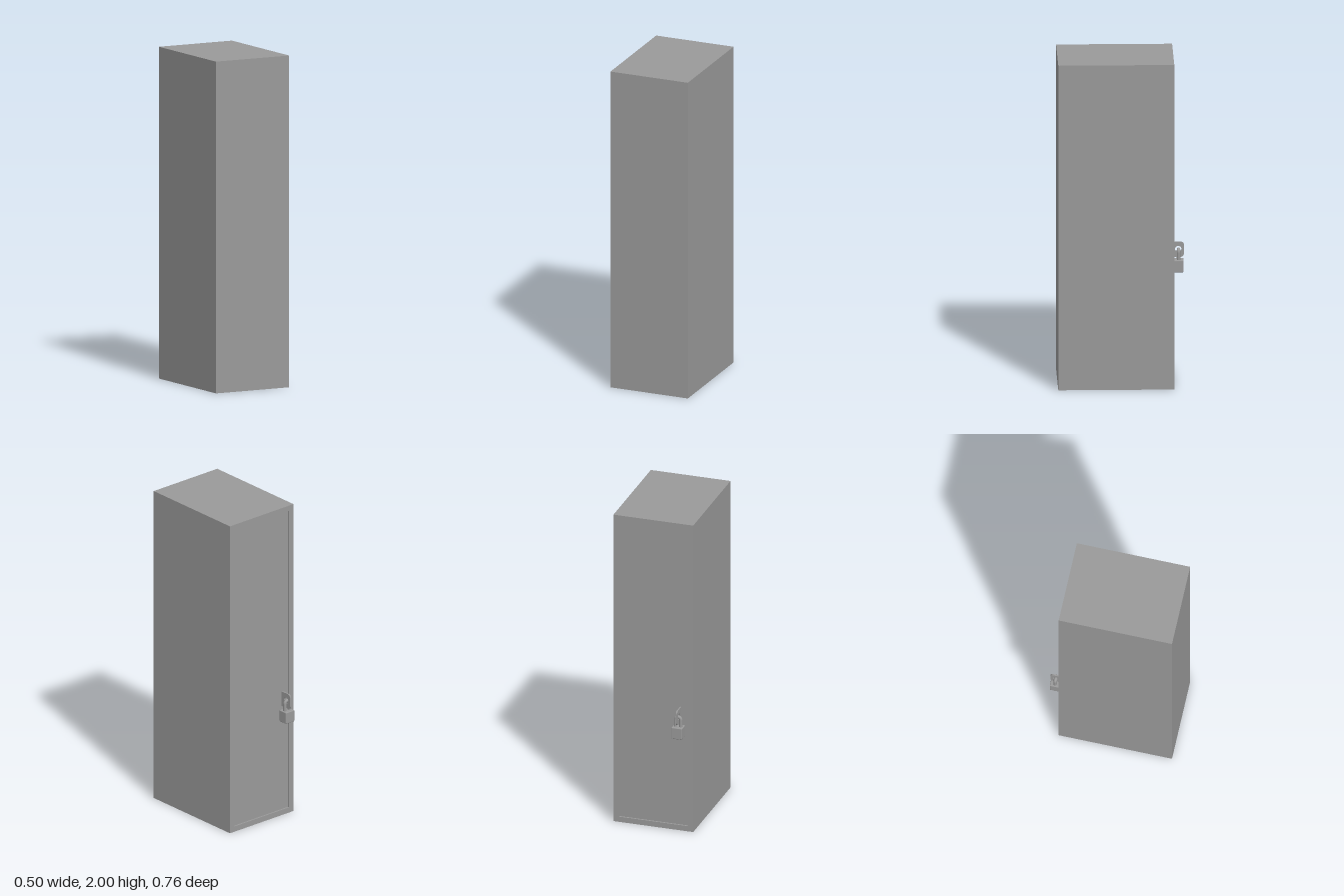
import * as THREE from 'three';
import { RoundedBoxGeometry } from 'three/addons/geometries/RoundedBoxGeometry.js';

const paint = new THREE.MeshStandardMaterial({ color: 0x9a9a9a });

function part(parent, name, geometry, x = 0, y = 0, z = 0) {
  const mesh = new THREE.Mesh(geometry, paint);
  mesh.name = name;
  mesh.position.set(x, y, z);
  parent.add(mesh);
  return mesh;
}

function rect(target, x0, y0, x1, y1) {
  target.moveTo(x0, y0);
  target.lineTo(x1, y0);
  target.lineTo(x1, y1);
  target.lineTo(x0, y1);
  target.closePath();
  return target;
}

export function createModel() {
  const locker = new THREE.Group();
  locker.name = 'locker';

  const W = 0.502, H = 2, FRONT = 0.38, BACK = -0.312;
  const rim = 0.034, recess = 0.01, doorThickness = 0.012;
  const core = BACK + recess + doorThickness;

  // Cabinet: closed box, with a rim around the door opening on the -z side
  part(locker, 'cabinet', new THREE.BoxGeometry(W, H, FRONT - core), 0, H / 2, (FRONT + core) / 2);
  const frame = rect(new THREE.Shape(), -W / 2, 0, W / 2, H);
  frame.holes.push(rect(new THREE.Path(), -W / 2 + rim, rim, W / 2 - rim, H - rim));
  part(locker, 'doorFrame',
    new THREE.ExtrudeGeometry(frame, { depth: core - BACK, bevelEnabled: false }), 0, 0, BACK);

  // Door: panel set back inside the rim
  part(locker, 'door', new THREE.BoxGeometry(W - 2 * rim, H - 2 * rim, doorThickness),
    0, H / 2, core - doorThickness / 2);

  // Hasp: thin upright plate with rounded outer corners and a hole (shape x runs along -z)
  const lockX = -0.1685, holeZ = -0.346, thick = 0.008;
  const inner = -(BACK + recess) - 0.004, outer = 0.38, low = 0.708, high = 0.802, r = 0.02;
  const plate = new THREE.Shape();
  plate.moveTo(inner, low);
  plate.lineTo(outer - r, low);
  plate.absarc(outer - r, low + r, r, -Math.PI / 2, 0);
  plate.lineTo(outer, high - r);
  plate.absarc(outer - r, high - r, r, 0, Math.PI / 2);
  plate.lineTo(inner, high);
  plate.closePath();
  plate.holes.push(new THREE.Path().absarc(-holeZ, 0.757, 0.019, 0, Math.PI * 2, true));
  const hasp = part(locker, 'hasp',
    new THREE.ExtrudeGeometry(plate, { depth: thick, bevelEnabled: false, curveSegments: 12 }),
    lockX - thick / 2);
  hasp.rotation.y = Math.PI / 2;

  // Padlock: rounded body and a shackle looped through the hasp
  const padlock = new THREE.Group();
  padlock.name = 'padlock';
  padlock.position.set(lockX, 0, holeZ - 0.002);
  locker.add(padlock);
  part(padlock, 'padlockBody', new RoundedBoxGeometry(0.068, 0.074, 0.06, 2, 0.005), 0, 0.657, 0);

  const half = 0.0165, bend = 0.739;
  const points = [[-half, 0.68], [-half, 0.71], [-half, bend - 0.01]];
  for (let i = 0; i <= 8; i++) {
    const a = Math.PI * (1 - i / 8);
    points.push([half * Math.cos(a), bend + half * Math.sin(a)]);
  }
  points.push([half, bend - 0.01], [half, 0.71], [half, 0.68]);
  const path = new THREE.CatmullRomCurve3(points.map(([x, y]) => new THREE.Vector3(x, y, 0)));
  part(padlock, 'shackle', new THREE.TubeGeometry(path, 48, 0.0102, 12));

  return locker;
}
